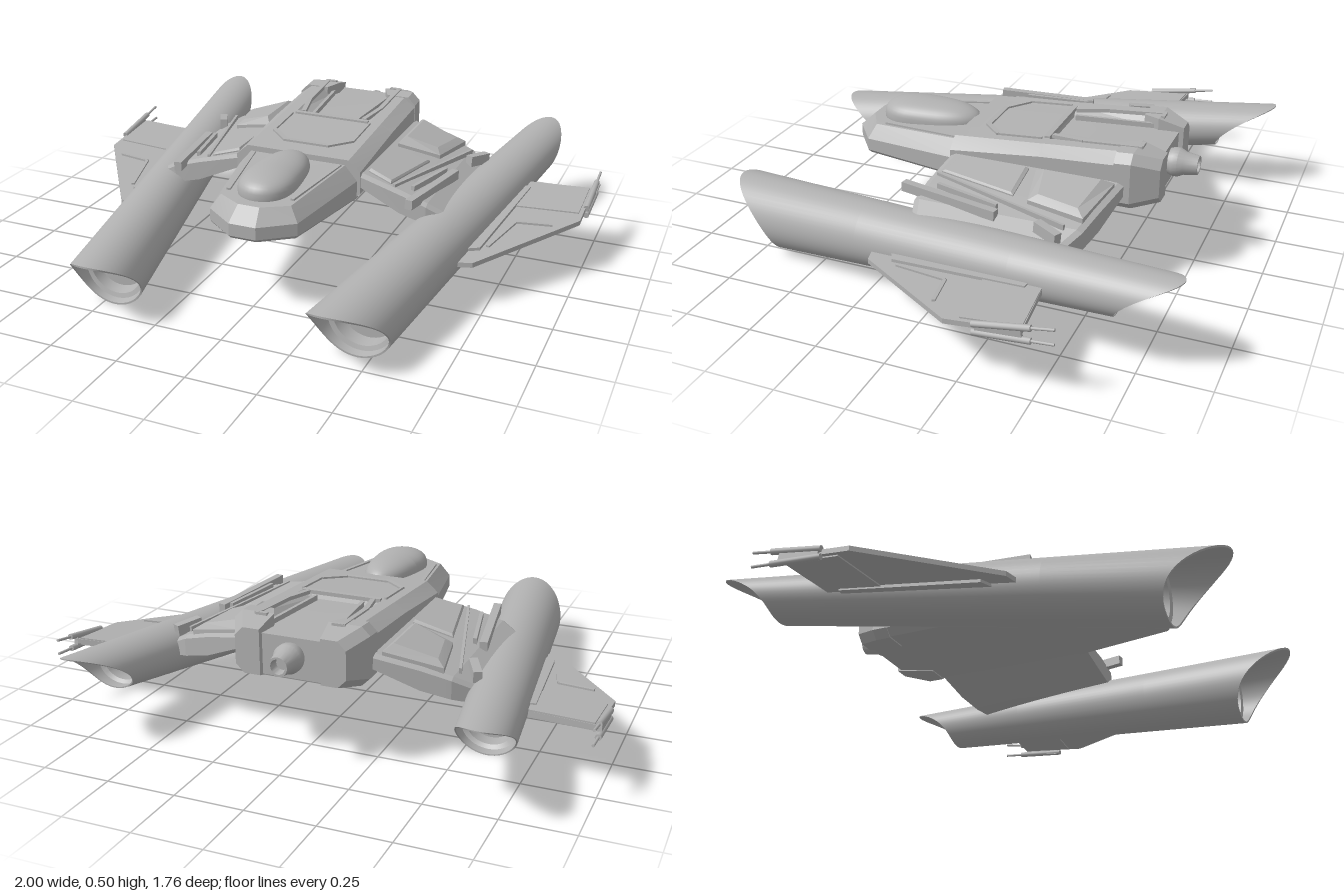
import * as THREE from 'three';
import { toCreasedNormals } from 'three/addons/utils/BufferGeometryUtils.js';

// Closed solid through rings of [x, y, z] points, wound so that it faces outward
function solid(rings, crease = 0.4) {
  const n = rings[0].length, tris = [];
  const mid = r => [0, 1, 2].map(k => r.reduce((s, p) => s + p[k], 0) / n);
  const first = rings[0], last = rings[rings.length - 1], c0 = mid(first), c1 = mid(last);
  for (let j = 0; j < n; j++) {
    const k = (j + 1) % n;
    tris.push([c0, first[k], first[j]], [c1, last[j], last[k]]);
    for (let i = 0; i < rings.length - 1; i++) {
      const a = rings[i], b = rings[i + 1];
      tris.push([a[j], a[k], b[k]], [a[j], b[k], b[j]]);
    }
  }
  let volume = 0;
  for (const [a, b, c] of tris) {
    volume += a[0] * (b[1] * c[2] - b[2] * c[1]) + a[1] * (b[2] * c[0] - b[0] * c[2]) + a[2] * (b[0] * c[1] - b[1] * c[0]);
  }
  if (volume < 0) tris.forEach(t => t.reverse());
  const geo = new THREE.BufferGeometry();
  geo.setAttribute('position', new THREE.Float32BufferAttribute(tris.flat(2), 3));
  return toCreasedNormals(geo, crease);
}

// Mirror a geometry across x, keeping its faces outward
function mirrored(source) {
  const g = source.index ? source.toNonIndexed() : source.clone();
  g.deleteAttribute('uv');
  g.scale(-1, 1, 1);
  for (const name of ['position', 'normal']) {
    const a = g.attributes[name].array;
    for (let i = 0; i < a.length; i += 9) {
      for (let k = 0; k < 3; k++) [a[i + 3 + k], a[i + 6 + k]] = [a[i + 6 + k], a[i + 3 + k]];
    }
  }
  return g;
}

// Move a geometry lying along z so that it runs between two points
function between(geo, a, b) {
  const A = new THREE.Vector3(...a), B = new THREE.Vector3(...b);
  const m = new THREE.Matrix4().lookAt(B, A, new THREE.Vector3(0, 1, 0));
  m.setPosition(A.clone().add(B).multiplyScalar(0.5));
  return geo.applyMatrix4(m);
}
const dist = (a, b) => Math.hypot(a[0] - b[0], a[1] - b[1], a[2] - b[2]);
const bar = (a, b, w, h) => between(new THREE.BoxGeometry(w, h, dist(a, b)), a, b);
const rod = (a, b, r) => between(new THREE.CylinderGeometry(r, r, dist(a, b), 12).rotateX(Math.PI / 2), a, b);
const bothSides = half => [...half, ...half.slice().reverse().map(([x, y, z]) => [-x, y, z])];

export function createModel() {
  const model = new THREE.Group();
  const grey = new THREE.MeshStandardMaterial({ color: 0xb0b0b0 });
  grey.name = 'hull grey';
  const add = (name, geo) => {
    const mesh = new THREE.Mesh(geo, grey);
    mesh.name = name;
    model.add(mesh);
  };
  const pair = (name, geo) => {
    add(name + 'Left', geo);
    add(name + 'Right', mirrored(geo));
  };

  // Main hull with a sunken rear deck
  const section = (z, w, bottom, shoulder, topW, top, deck) => bothSides([
    [w - 0.03, bottom, z], [w, bottom + 0.025, z], [w, shoulder, z], [topW, top, z], [0.155, top, z], [0.115, deck, z],
  ]);
  add('mainHull', solid([
    section(-0.635, 0.205, 0.305, 0.44, 0.172, 0.468, 0.45),
    section(-0.56, 0.245, 0.29, 0.455, 0.2, 0.49, 0.45),
    section(-0.235, 0.245, 0.29, 0.435, 0.2, 0.466, 0.442),
    section(-0.225, 0.245, 0.29, 0.434, 0.2, 0.465, 0.465),
    section(0.11, 0.245, 0.29, 0.4, 0.2, 0.44, 0.44),
  ], 0.2));

  // Blocks at the rear corners
  const podRing = (z, x0, x1, y0, y1) => [
    [x0, y0, z], [x1 - 0.03, y0, z], [x1, y0 + 0.03, z], [x1, y1 - 0.03, z], [x1 - 0.03, y1, z], [x0, y1, z],
  ];
  pair('rearPod', solid([
    podRing(-0.652, 0.11, 0.2, 0.305, 0.467), podRing(-0.56, 0.1, 0.247, 0.285, 0.493), podRing(-0.5, 0.13, 0.247, 0.285, 0.489),
  ], 0.2));

  // Nose, stacked as outlines from bottom to top
  const outline = (y, yFront, w, d) => bothSides([
    [0.235 * w, y, 0.1], [0.165 * w, yFront, 0.487 - d * 0.4], [0.05 * w, yFront, 0.575 - d],
  ]);
  add('nose', solid([
    outline(0.288, 0.288, 0.95, 0.012), outline(0.3, 0.3, 1, 0), outline(0.365, 0.345, 1, 0), outline(0.42, 0.396, 0.8, 0.055),
  ], 0.2));
  pair('noseStrip', bar([0.17, 0.418, 0.12], [0.12, 0.4, 0.43], 0.014, 0.012));

  // Canopy, wider toward the front
  const canopy = new THREE.SphereGeometry(1, 40, 24);
  const p = canopy.attributes.position;
  const full = v => Math.sign(v) * Math.abs(v) ** 0.72;
  for (let i = 0; i < p.count; i++) {
    const z = full(p.getZ(i));
    p.setXYZ(i, p.getX(i) * (0.098 + 0.018 * z), 0.405 + 0.07 * full(p.getY(i)), 0.288 + 0.196 * z);
  }
  canopy.computeVertexNormals();
  add('canopy', canopy);

  // Raised trim on the spine
  const top = z => 0.4485 - 0.0735 * z;
  const trim = (x0, z0, x1, z1, w = 0.014) => bar([x0, top(z0), z0], [x1, top(z1), z1], w, 0.014);
  pair('deckRail', trim(0.155, -0.575, 0.15, -0.36, 0.018));
  pair('deckRailFront', trim(0.15, -0.36, 0.125, -0.24, 0.018));
  pair('deckInnerRail', bar([0.118, 0.458, -0.57], [0.09, 0.452, -0.25], 0.012, 0.02));
  pair('deckRailEnd', trim(0.158, -0.57, 0.118, -0.57));
  add('deckCrossbar', trim(-0.15, -0.225, 0.15, -0.225, 0.02));
  pair('panelSide', trim(0.16, -0.21, 0.16, -0.04, 0.008));
  pair('panelCorner', trim(0.16, -0.045, 0.085, 0.025, 0.018));
  add('panelFront', trim(-0.09, 0.025, 0.09, 0.025, 0.018));

  // Rear nozzle
  const nozzle = new THREE.LatheGeometry([
    [0, -0.04], [0.035, -0.04], [0.052, 0.005], [0.052, 0.025], [0.042, 0.045], [0.034, 0.095],
    [0.026, 0.095], [0.022, 0.06], [0, 0.06],
  ].map(q => new THREE.Vector2(...q)), 24).rotateX(-Math.PI / 2).translate(0, 0.385, -0.645);
  add('rearNozzle', toCreasedNormals(nozzle, 0.5));

  // Inner wings sloping down to the nacelles
  const wingRing = (x, back, front, y0, y1) => [
    [x, y0, back], [x, y1 - 0.01, back], [x, y1, back + 0.02], [x, y1, front - 0.02], [x, y1 - 0.01, front], [x, y0, front],
  ];
  pair('innerWing', solid([
    wingRing(0.2, -0.55, 0.1, 0.36, 0.4), wingRing(0.4, -0.505, 0.125, 0.275, 0.355),
    wingRing(0.5, -0.48, 0.13, 0.25, 0.325), wingRing(0.6, -0.415, 0.1, 0.22, 0.27),
  ], 0.2));
  const wingTop = x => 0.4 - 0.225 * (x - 0.2);
  const plate = (corners, lift, inset) => {
    const cx = corners.reduce((s, c) => s + c[0], 0) / 4, cz = corners.reduce((s, c) => s + c[1], 0) / 4;
    const ring = (h, k) => corners.map(([x, z]) => [cx + (x - cx) * k, wingTop(x) + h, cz + (z - cz) * k]);
    return solid([ring(-0.02, 1), ring(lift * 0.4, 1), ring(lift, inset)], 0.2);
  };
  pair('wingHousing', plate([[0.27, -0.515], [0.47, -0.47], [0.43, -0.26], [0.27, -0.23]], 0.032, 0.72));
  pair('wingPanel', plate([[0.26, -0.2], [0.41, -0.2], [0.355, 0.09], [0.26, 0.06]], 0.012, 0.92));
  const rail = (x0, z0, x1, z1, w, h) => bar([x0, wingTop(x0), z0], [x1, wingTop(x1), z1], w, h);
  pair('wingSeam', rail(0.51, -0.42, 0.37, 0.1, 0.01, 0.02));
  pair('longRail', rail(0.515, -0.18, 0.455, 0.19, 0.028, 0.035));
  pair('middleRail', rail(0.48, -0.17, 0.43, 0.07, 0.014, 0.03));
  pair('rearRail', rail(0.57, -0.42, 0.525, -0.33, 0.03, 0.04));

  // Nacelles: tapered tubes with scooped ends and recessed caps
  const nacelleRing = (scale, zAt) => Array.from({ length: 48 }, (_, i) => {
    const a = i / 48 * Math.PI * 2, z = zAt((Math.sin(a) + 1) / 2);
    return [0.569 - 0.169 * z + Math.cos(a) * scale * (0.115 + 0.0214 * z),
      0.1935 - 0.092 * z + Math.sin(a) * scale * (0.107 + 0.033 * z), z];
  });
  const frontCut = t => 0.675 + 0.205 * t ** 2.2, rearCut = t => -0.665 - 0.215 * t ** 2.1;
  pair('nacelle', solid([
    nacelleRing(0.78, () => 0.6), nacelleRing(0.8, () => 0.645), nacelleRing(0.92, () => 0.65), nacelleRing(0.95, frontCut),
    nacelleRing(1, frontCut), nacelleRing(1, () => 0.3), nacelleRing(1, () => -0.3), nacelleRing(1, rearCut),
    nacelleRing(0.95, rearCut), nacelleRing(0.9, () => -0.63), nacelleRing(0.75, () => -0.62), nacelleRing(0.72, () => -0.56),
  ], 0.6));

  // Outer wings, pitched like the nacelles
  const finY = z => 0.185 - 0.092 * z;
  const fin = (corners, h) => solid([-h, h].map(d => corners.map(([x, z]) => [x, finY(z) + d, z])), 0.2);
  pair('outerWing', fin([[0.62, -0.42], [0.985, -0.46], [0.985, -0.2], [0.7, 0.21], [0.6, 0.235]], 0.009));
  pair('wingFlap', fin([[0.66, -0.425], [0.97, -0.455], [0.97, -0.25], [0.66, -0.22]], 0.014));
  pair('wingRoot', fin([[0.62, -0.4], [0.76, -0.38], [0.7, 0.12], [0.58, 0.18]], 0.02));
  pair('wingRib', bar([0.9, finY(-0.13) + 0.01, -0.13], [0.77, finY(-0.11) + 0.01, -0.11], 0.012, 0.012));
  pair('leadingRib', bar([0.77, finY(-0.11) + 0.01, -0.11], [0.72, finY(0.09) + 0.01, 0.09], 0.012, 0.012));

  // Twin wingtip cannons
  pair('cannonMount', bar([0.987, 0.207, -0.31], [0.987, 0.228, -0.46], 0.014, 0.045));
  for (const [name, y0, y1] of [['upper', 0.222, 0.266], ['lower', 0.193, 0.214]]) {
    const at = t => [0.989, y0 + (y1 - y0) * t, -0.3 - 0.265 * t];
    pair(name + 'Cannon', rod(at(0), at(0.72), 0.011));
    pair(name + 'Barrel', rod(at(0.7), at(1), 0.005));
  }
  return model;
}
